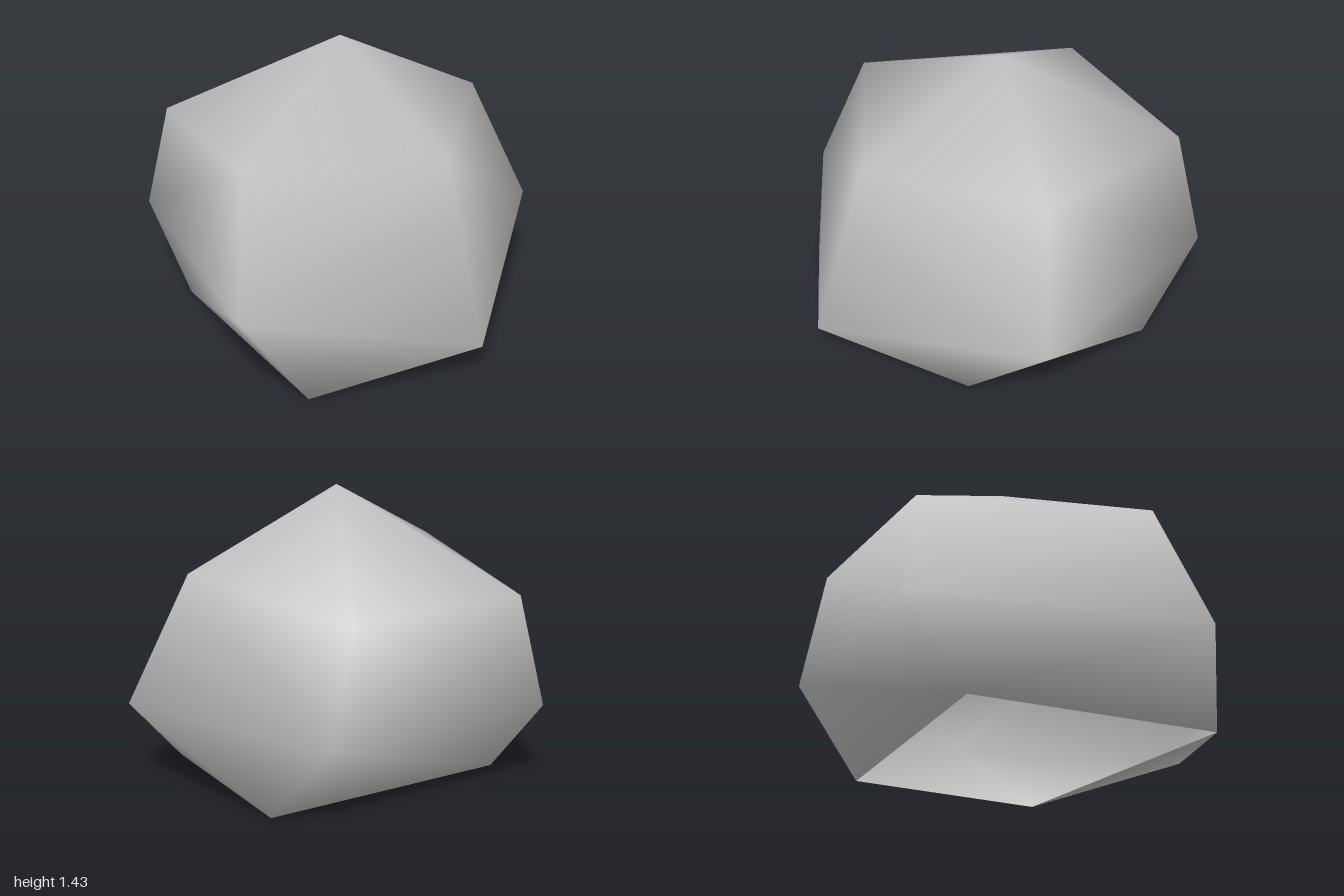
import * as THREE from 'three';

// Rings from top to bottom, in the same order around the boulder
const TOP = [-0.03, 1.43, -0.09];
const SHOULDER = [[-0.84, 1.03, 0.32], [0.05, 1.03, 0.68], [0.73, 1.05, 0.01], [0.34, 0.95, -0.9], [-0.63, 0.95, -0.8]];
const WAIST = [[-1, 0.41, 0.53], [0.07, 0.15, 0.96], [1, 0.41, 0.14], [0.51, 0.41, -0.96], [-0.72, 0.41, -0.89]];
const FOOT = [[-0.73, 0, 0.68], [0.62, 0, 0.38], [0.62, 0, -0.6], [-0.67, 0, -0.55]];

// Shell with an open base; two sides share one foot corner
function boulderGeometry() {
  const points = [TOP, ...SHOULDER, ...WAIST, ...FOOT];
  const corners = points.map((p) => new THREE.Vector3(...p));
  const rings = [[1, 2, 3, 4, 5], [6, 7, 8, 9, 10], [11, 12, 12, 13, 14]];
  const index = [];

  // Split each four-sided facet along the diagonal that bulges outward
  const facet = (a, b, c, d) => {
    if (c === d) {
      index.push(a, b, c);
      return;
    }
    const side = new THREE.Triangle(corners[a], corners[b], corners[c]).getPlane(new THREE.Plane());
    if (side.distanceToPoint(corners[d]) < 0) index.push(a, b, c, a, c, d);
    else index.push(a, b, d, b, c, d);
  };

  for (let i = 0; i < 5; i++) {
    const j = (i + 1) % 5;
    index.push(0, rings[0][i], rings[0][j]); // cap
    for (let r = 0; r < 2; r++) facet(rings[r][j], rings[r][i], rings[r + 1][i], rings[r + 1][j]);
  }
  index.push(7, 11, 12); // front underside, below the low waist corner

  const geometry = new THREE.BufferGeometry();
  geometry.setAttribute('position', new THREE.Float32BufferAttribute(points.flat(), 3));
  geometry.setIndex(index.slice(0, -3)); // the front facet already closes here
  geometry.computeVertexNormals(); // smooth shading over the coarse shape
  return geometry;
}

export function createModel() {
  const group = new THREE.Group();
  group.name = 'rock';
  const stone = new THREE.MeshStandardMaterial({ color: 0xc4c4c4, side: THREE.DoubleSide });
  stone.name = 'stone grey';
  const boulder = new THREE.Mesh(boulderGeometry(), stone);
  boulder.name = 'boulder';
  group.add(boulder);
  return group;
}
